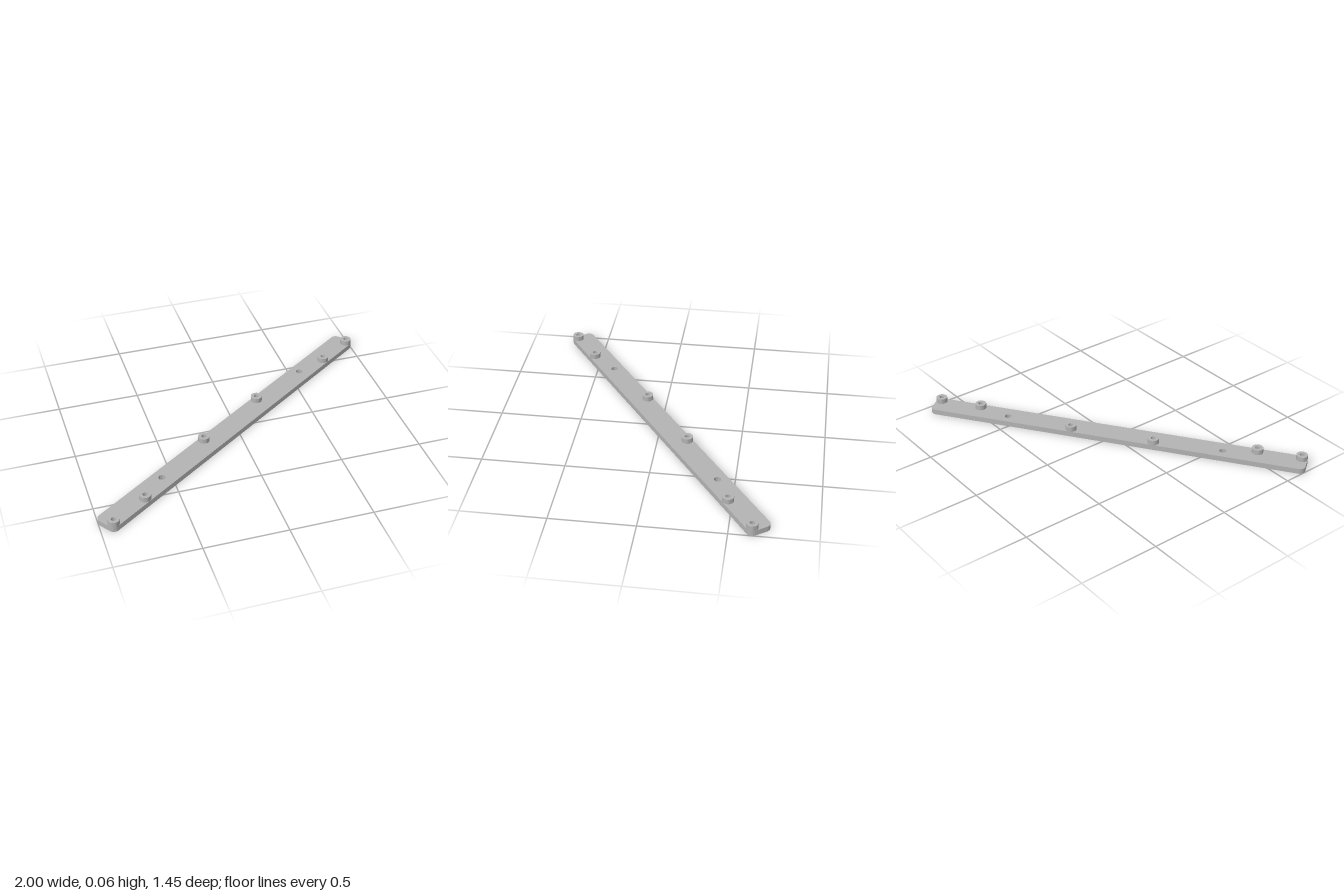
import * as THREE from 'three';
import { toCreasedNormals } from 'three/addons/utils/BufferGeometryUtils.js';

const HALF_LENGTH = 1.187, HALF_WIDTH = 0.0725, PLATE_HEIGHT = 0.033, TOP = 0.064;
const BOSS_RADIUS = 0.0345, BORE_RADIUS = 0.015, HOLE_RADIUS = 0.021;

// Positions along and across the bar
const bosses = [
  [-1.1525, 0.038], [-0.886, 0.037], [-0.262, -0.04],
  [0.262, -0.04], [0.886, 0.037], [1.1525, 0.038],
];
const holes = [[-0.685, -0.01], [0.685, -0.01]];

function circle(PathType, x, z, radius) {
  const path = new PathType();
  path.absarc(x, -z, radius, 0, Math.PI * 2, false);
  return path;
}

// Extrude a plan outline upwards, keeping round walls smooth
function extrudeUp(shape, height) {
  const geometry = new THREE.ExtrudeGeometry(shape, { depth: height, bevelEnabled: false, curveSegments: 24 });
  geometry.rotateX(-Math.PI / 2);
  return toCreasedNormals(geometry, 0.6);
}

function roundedBar(l, w, r) {
  const shape = new THREE.Shape();
  shape.absarc(l - r, w - r, r, 0, Math.PI / 2, false);
  shape.absarc(-l + r, w - r, r, Math.PI / 2, Math.PI, false);
  shape.absarc(-l + r, -w + r, r, Math.PI, Math.PI * 1.5, false);
  shape.absarc(l - r, -w + r, r, Math.PI * 1.5, Math.PI * 2, false);
  shape.closePath();
  return shape;
}

export function createModel() {
  const model = new THREE.Group();
  model.name = 'mountingBar';
  const grey = new THREE.MeshStandardMaterial({ color: 0xb3b3b3 });
  grey.name = 'grey';

  // The bar lies diagonally on the ground
  const bar = new THREE.Group();
  bar.name = 'bar';
  bar.rotation.y = THREE.MathUtils.degToRad(35);
  model.add(bar);

  // Flat plate with through holes
  const outline = roundedBar(HALF_LENGTH, HALF_WIDTH, BOSS_RADIUS);
  for (const [x, z] of bosses) outline.holes.push(circle(THREE.Path, x, z, BORE_RADIUS));
  for (const [x, z] of holes) outline.holes.push(circle(THREE.Path, x, z, HOLE_RADIUS));
  const plate = new THREE.Mesh(extrudeUp(outline, PLATE_HEIGHT), grey);
  plate.name = 'plate';
  bar.add(plate);

  // Hollow standoffs on the plate
  const ring = circle(THREE.Shape, 0, 0, BOSS_RADIUS);
  ring.holes.push(circle(THREE.Path, 0, 0, BORE_RADIUS));
  const bossGeometry = extrudeUp(ring, TOP - PLATE_HEIGHT);
  bosses.forEach(([x, z], i) => {
    const boss = new THREE.Mesh(bossGeometry, grey);
    boss.name = `standoff${i + 1}`;
    boss.position.set(x, PLATE_HEIGHT, z);
    bar.add(boss);
  });
  return model;
}
